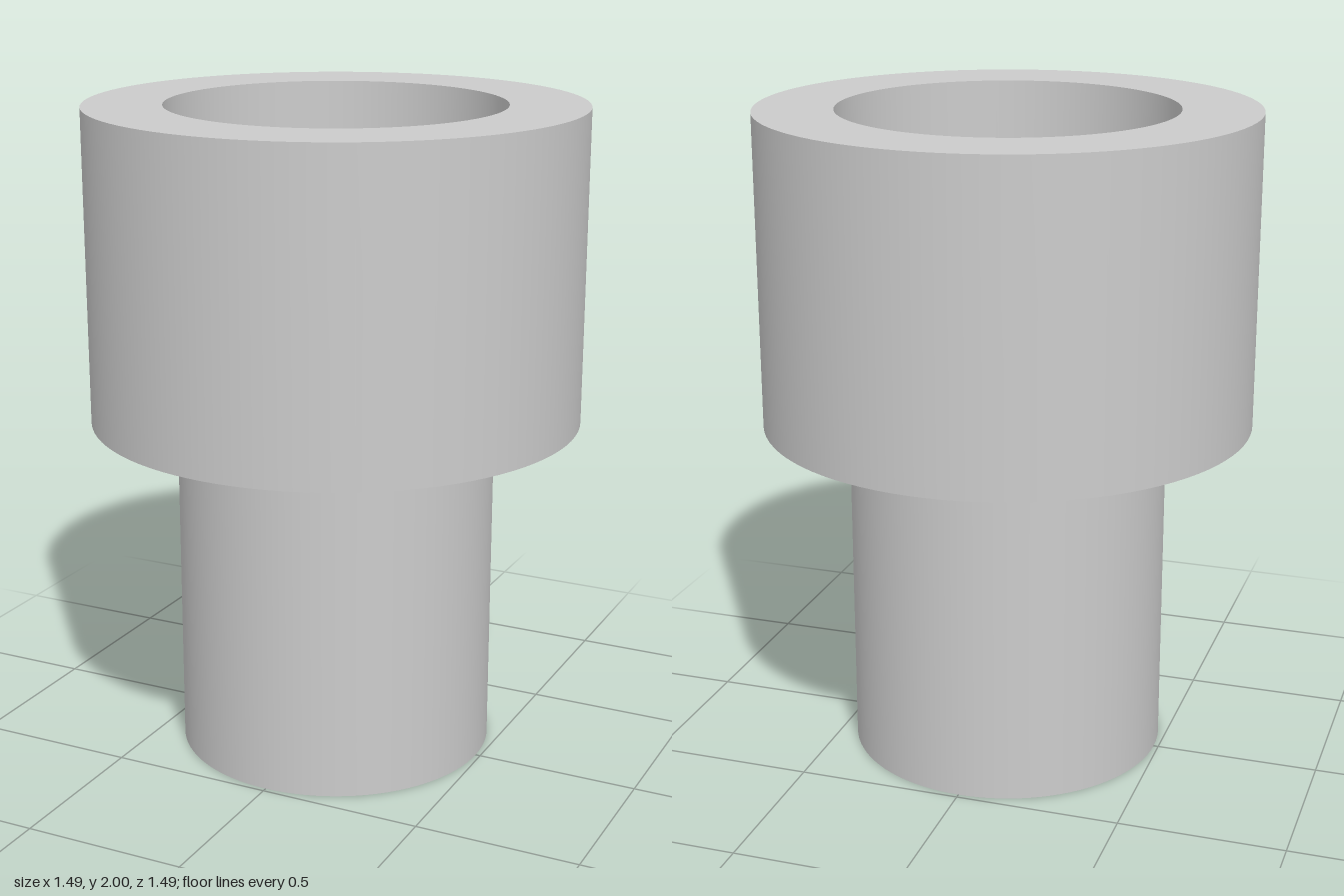
import * as THREE from 'three';

const SEGMENTS = 96;

export function createModel() {
  const group = new THREE.Group();
  group.name = 'steppedSocket';
  const material = new THREE.MeshStandardMaterial({ color: 0xcccccc });

  // Half section as [name, radius, height]; each entry names the surface that starts at its point.
  const profile = [
    ['pilotHoleEnd', 0, 0.75],
    ['pilotHoleWall', 0.186, 0.75],
    ['shankBase', 0.186, 0],
    ['shankWall', 0.485, 0],
    ['shoulder', 0.485, 1.05],
    ['headWall', 0.745, 1.05],
    ['headRim', 0.745, 2],
    ['socketWall', 0.507, 2],
    ['socketFloor', 0.507, 1.25],
    ['axis', 0, 1.25],
  ];

  // One lathe per straight stretch keeps round walls smooth and edges sharp.
  for (let i = 0; i < profile.length - 1; i++) {
    const ends = [profile[i], profile[i + 1]].map(([, r, y]) => new THREE.Vector2(r, y));
    const mesh = new THREE.Mesh(new THREE.LatheGeometry(ends, SEGMENTS), material);
    mesh.name = profile[i][0];
    group.add(mesh);
  }
  return group;
}
